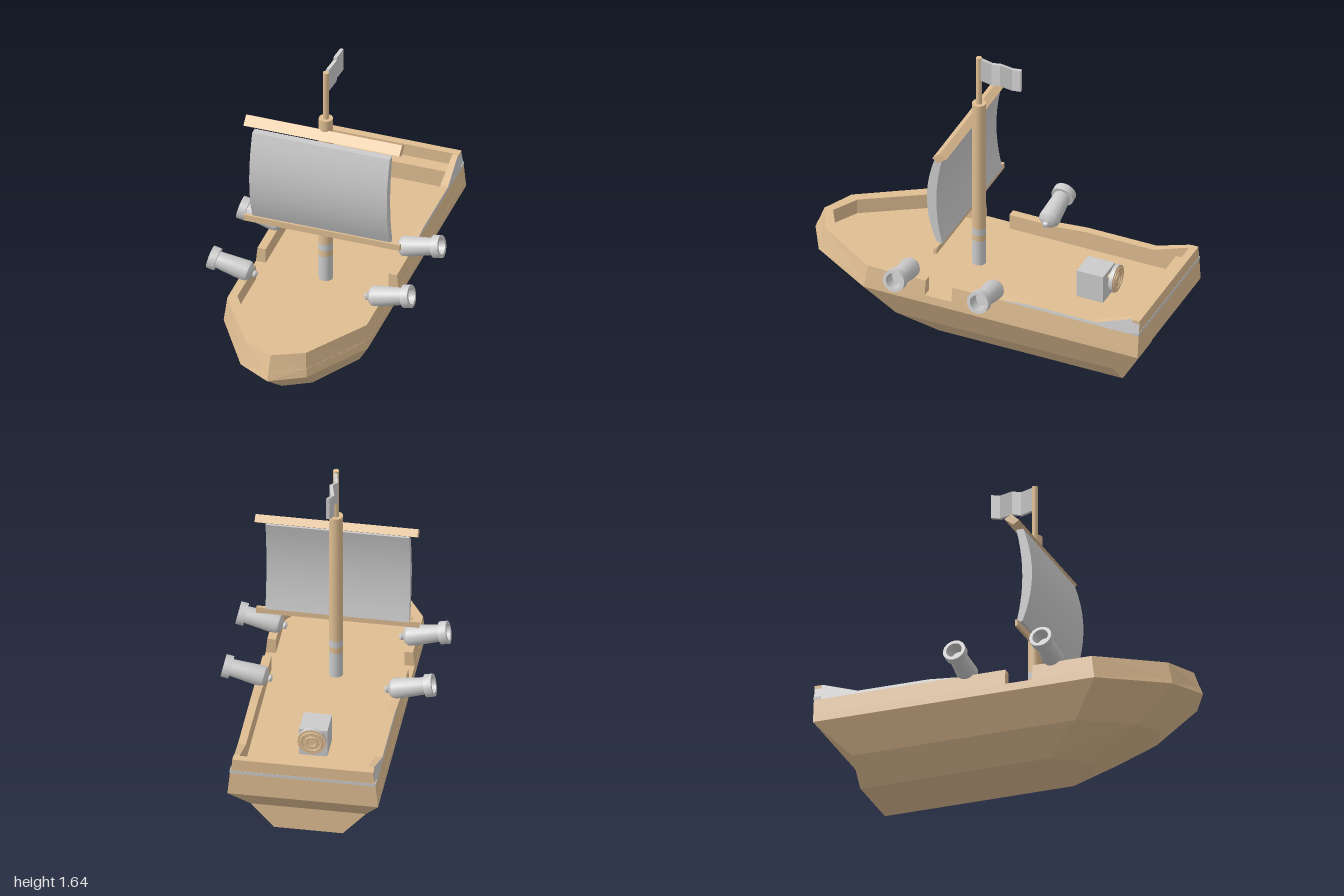
import * as THREE from 'three';
import { toCreasedNormals } from 'three/addons/utils/BufferGeometryUtils.js';

const wood = new THREE.MeshStandardMaterial({ color: 0xdfbd92 });
const grey = new THREE.MeshStandardMaterial({ color: 0xcccccc });

// Flat-faced solid through a row of convex cross-sections; one material group per side, last for caps
function loft(rings) {
  const pos = [];
  const g = new THREE.BufferGeometry();
  const tri = (...pts) => pts.forEach((p) => pos.push(...p));
  const n = rings[0].length;
  const count = () => pos.length / 3;
  for (let j = 0; j < n; j++) {
    const start = count(), k = (j + 1) % n;
    for (let i = 0; i + 1 < rings.length; i++) {
      const a = rings[i], b = rings[i + 1];
      tri(a[j], a[k], b[k], a[j], b[k], b[j]);
    }
    g.addGroup(start, count() - start, j);
  }
  const start = count(), first = rings[0], last = rings[rings.length - 1];
  for (let j = 1; j + 1 < n; j++) {
    tri(first[0], first[j + 1], first[j]);
    tri(last[0], last[j], last[j + 1]);
  }
  g.addGroup(start, count() - start, n);
  g.setAttribute('position', new THREE.Float32BufferAttribute(pos, 3));
  g.computeVertexNormals();
  return g;
}

// Extrudes a (z, y) outline across the ship
function extrudeX(shape, width) {
  const g = new THREE.ExtrudeGeometry(shape, { depth: width, bevelEnabled: false, curveSegments: 10 });
  return g.translate(0, 0, -width / 2).rotateY(-Math.PI / 2);
}

export function createModel() {
  const ship = new THREE.Group();
  ship.name = 'sailingShip';
  function add(name, geometry, material, x = 0, y = 0, z = 0, parent = ship) {
    const m = new THREE.Mesh(geometry, material);
    m.name = name;
    m.position.set(x, y, z);
    parent.add(m);
    return m;
  }
  const box = (w, h, d) => new THREE.BoxGeometry(w, h, d);
  const rod = (r, h, n = 16) => new THREE.CylinderGeometry(r, r, h, n);

  // Hull, with the deck as its top
  const outline = (y, w, zSide, wBow, zBow, zTip, zStern) => [
    [0, y, zTip], [wBow, y, zBow], [w, y, zSide], [w, y, -zStern],
    [-w, y, -zStern], [-w, y, zSide], [-wBow, y, zBow],
  ];
  add('hull', loft([
    outline(0, 0.18, 0.22, 0.08, 0.37, 0.42, 0.82),
    outline(0.135, 0.3, 0.41, 0.14, 0.69, 0.77, 0.82),
    outline(0.315, 0.393, 0.55, 0.18, 0.9, 1, 1),
    outline(0.36, 0.389, 0.543, 0.175, 0.89, 0.983, 1),
  ]), wood);

  // Bulwarks, broken by a gangway on each side
  const Y0 = 0.355, Y1 = 0.445;
  const section = (s, xb, zb, xt, zt, xi, zi) => [
    [s * xb, Y0, zb], [s * xt, Y1, zt], [s * xi, Y1, zi], [s * xi, Y0, zi],
  ];
  const side = (s, z) => section(s, 0.389, z, 0.38, z, 0.335, z);
  const shoulder = (s) => section(s, 0.389, 0.543, 0.38, 0.53, 0.335, 0.5);
  const cheek = (s) => section(s, 0.175, 0.89, 0.165, 0.87, 0.135, 0.825);
  add('bowBulwark', loft([
    side(1, 0.205), shoulder(1), cheek(1),
    section(1, 0, 0.983, 0, 0.95, 0, 0.9),
    cheek(-1), shoulder(-1), side(-1, 0.205),
  ]), wood);
  const corner = (s) => section(s, 0.389, -1, 0.38, -1, 0.335, -0.96);
  add('sternBulwark', loft([side(-1, 0.055), corner(-1), corner(1), side(1, 0.055)]), wood);

  // Raised stern rails with grey outer faces
  const railSection = ([z, y]) => {
    const x = 0.38 - (y - Y1) * 0.18;
    return [[0.38, Y1, z], [x, y, z], [0.335, y, z], [0.335, Y1, z]];
  };
  const railGeo = loft([
    [-1, 0.53], [-0.95, 0.53], [-0.76, 0.461], [-0.37, 0.461], [-0.22, 0.446],
  ].map(railSection));
  for (const s of [1, -1]) {
    add(s > 0 ? 'leftSternRail' : 'rightSternRail', railGeo, [grey, wood, wood, wood, wood]).scale.x = s;
  }
  add('transomStripe', box(0.762, 0.018, 0.04), grey, 0, 0.453, -0.981);
  add('transomTop', box(0.736, 0.07, 0.04), wood, 0, 0.495, -0.98);
  add('sternLedge', box(0.67, 0.1, 0.075), wood, 0, 0.41, -0.925);

  // Helm
  const helm = new THREE.Group();
  helm.name = 'helm';
  ship.add(helm);
  add('helmBox', box(0.147, 0.16, 0.15), grey, 0, 0.44, -0.585, helm);
  add('helmAxle', rod(0.016, 0.05, 12).rotateX(Math.PI / 2), wood, 0, 0.48, -0.68, helm);
  add('helmWheel', rod(0.075, 0.022, 20).rotateX(Math.PI / 2), [grey, wood, wood], 0, 0.48, -0.7, helm);
  for (const r of [0.055, 0.028]) {
    add('wheelRing', new THREE.TorusGeometry(r, 0.006, 6, 20), wood, 0, 0.48, -0.711, helm);
  }

  // Mast in stacked bands, and the flagpole
  [[0.355, 0.51, grey], [0.51, 0.545, wood], [0.545, 0.585, grey], [0.585, 1.36, wood]]
    .forEach(([a, b, m]) => add('mastBand', rod(0.037, b - a), m, 0, (a + b) / 2, 0.075));
  add('flagpole', rod(0.016, 0.285, 12), wood, 0, 1.5025, 0.075);

  // Rippled flag
  add('flag', loft([
    [0.065, 0, 1.64], [0.005, -0.012, 1.618], [-0.05, 0.006, 1.64],
    [-0.11, -0.012, 1.618], [-0.167, 0.004, 1.637],
  ].map(([z, x, y]) => [
    [x + 0.009, y, z], [x + 0.009, y - 0.13, z], [x - 0.009, y - 0.13, z], [x - 0.009, y, z],
  ])), grey);

  // Yards
  const yard = new THREE.Shape([[0.147, 1.262], [0.103, 1.302], [0.066, 1.277], [0.115, 1.24]]
    .map(([z, y]) => new THREE.Vector2(z, y)));
  add('upperYard', extrudeX(yard, 0.85), wood);
  add('lowerYard', box(0.85, 0.035, 0.016), wood, 0, 0.68, 0.132);

  // Billowing sail with a crescent section
  const sail = new THREE.Shape();
  sail.moveTo(0.112, 0.7);
  sail.lineTo(0.147, 0.71);
  sail.quadraticCurveTo(0.25, 0.96, 0.152, 1.232);
  sail.lineTo(0.113, 1.232);
  sail.quadraticCurveTo(0.18, 0.96, 0.112, 0.7);
  add('sail', toCreasedNormals(extrudeX(sail, 0.75), 0.5), grey);

  // Cannons, two on each side, muzzles raised outward
  const profile = [
    [0, 0], [0.014, 0.002], [0.02, 0.012], [0.014, 0.022], [0.034, 0.028], [0.054, 0.046], [0.056, 0.06],
    [0.045, 0.22], [0.061, 0.22], [0.061, 0.262], [0.043, 0.262], [0.04, 0.19], [0, 0.19],
  ].map(([r, t]) => new THREE.Vector2(r, t));
  const cannonGeo = toCreasedNormals(new THREE.LatheGeometry(profile, 16), 0.5);
  for (const s of [1, -1]) {
    for (const z of [0.31, -0.165]) {
      add('cannon', cannonGeo, grey, s * 0.293, 0.462, z).rotation.z = -s * (Math.PI / 2 - 0.22);
    }
  }
  return ship;
}
